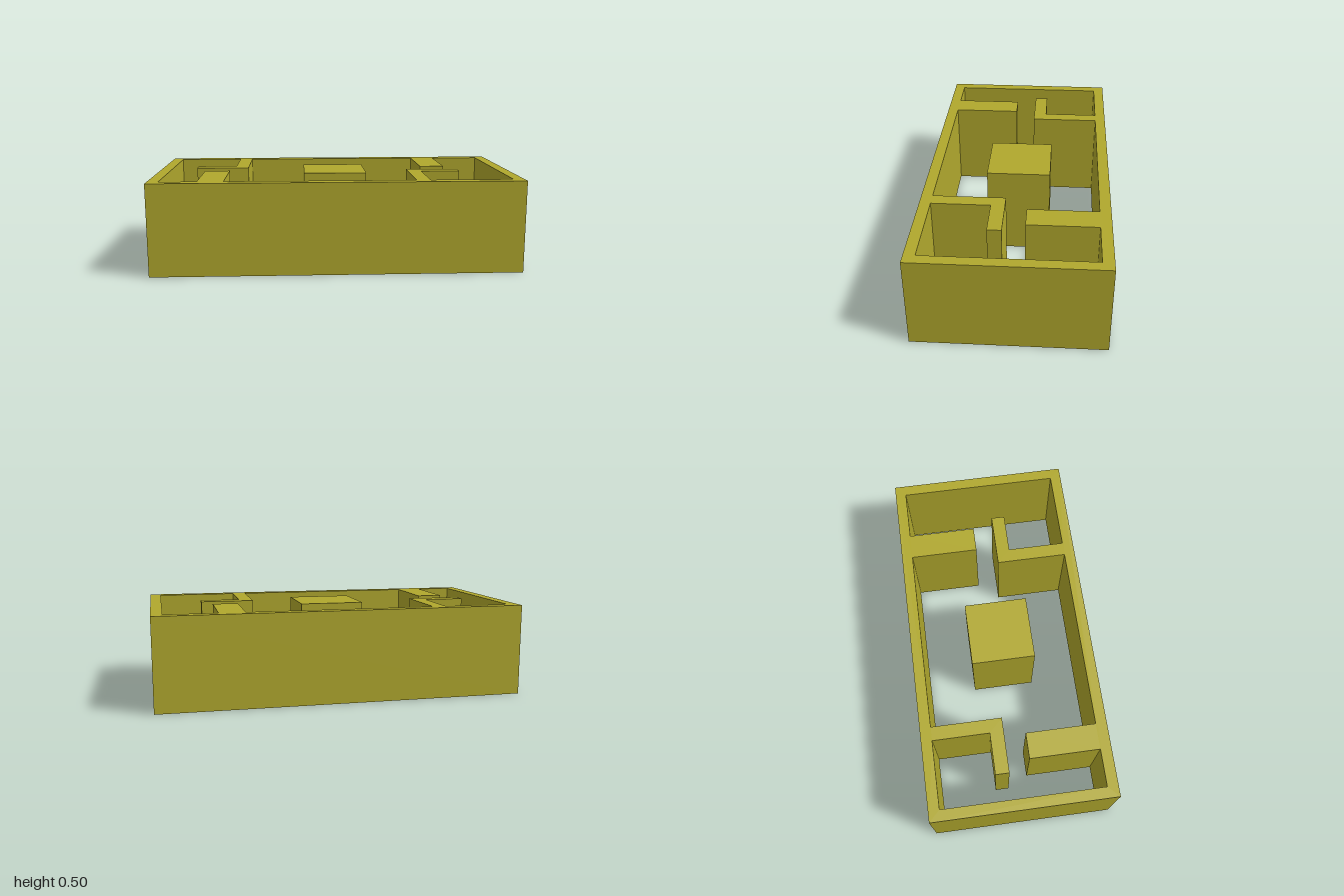
import * as THREE from 'three';

const HEIGHT = 0.5;

// Raises a floor-plan shape, drawn as (x, z), into walls standing on y = 0
function raise(shape, material, name) {
  const geometry = new THREE.ExtrudeGeometry(shape, { depth: HEIGHT, bevelEnabled: false });
  geometry.rotateX(Math.PI / 2).translate(0, HEIGHT, 0);
  const mesh = new THREE.Mesh(geometry, material);
  mesh.name = name;
  return mesh;
}

const outline = (points) => points.map(([x, z]) => new THREE.Vector2(x, z));

export function createModel() {
  const group = new THREE.Group();
  group.name = 'walledMaze';
  const olive = new THREE.MeshStandardMaterial({ color: 0xb0a82d });
  olive.name = 'olive';

  // Outer walls; the open interior is cut around the partitions joined to them
  const walls = new THREE.Shape(outline([[-1, -0.5], [1, -0.5], [1, 0.5], [-1, 0.5]]));
  walls.holes.push(new THREE.Path(outline([
    [-0.94, -0.44],
    // hooked partition, back right
    [-0.575, -0.44], [-0.575, -0.13], [-0.8, -0.13], [-0.8, -0.055], [-0.5, -0.055], [-0.5, -0.44],
    // straight partition, back left
    [0.52, -0.44], [0.52, -0.065], [0.66, -0.065], [0.66, -0.44],
    [0.94, -0.44], [0.94, 0.44],
    // hooked partition, front left
    [0.495, 0.44], [0.495, 0.125], [0.715, 0.125], [0.715, 0.05], [0.42, 0.05], [0.42, 0.44],
    // straight partition, front right
    [-0.6, 0.44], [-0.6, 0.06], [-0.74, 0.06], [-0.74, 0.44],
    [-0.94, 0.44],
  ])));
  group.add(raise(walls, olive, 'wallsAndPartitions'));

  // Free-standing block in the middle
  const block = new THREE.Mesh(new THREE.BoxGeometry(0.35, HEIGHT, 0.35), olive);
  block.name = 'centreBlock';
  block.position.y = HEIGHT / 2;
  group.add(block);

  return group;
}
